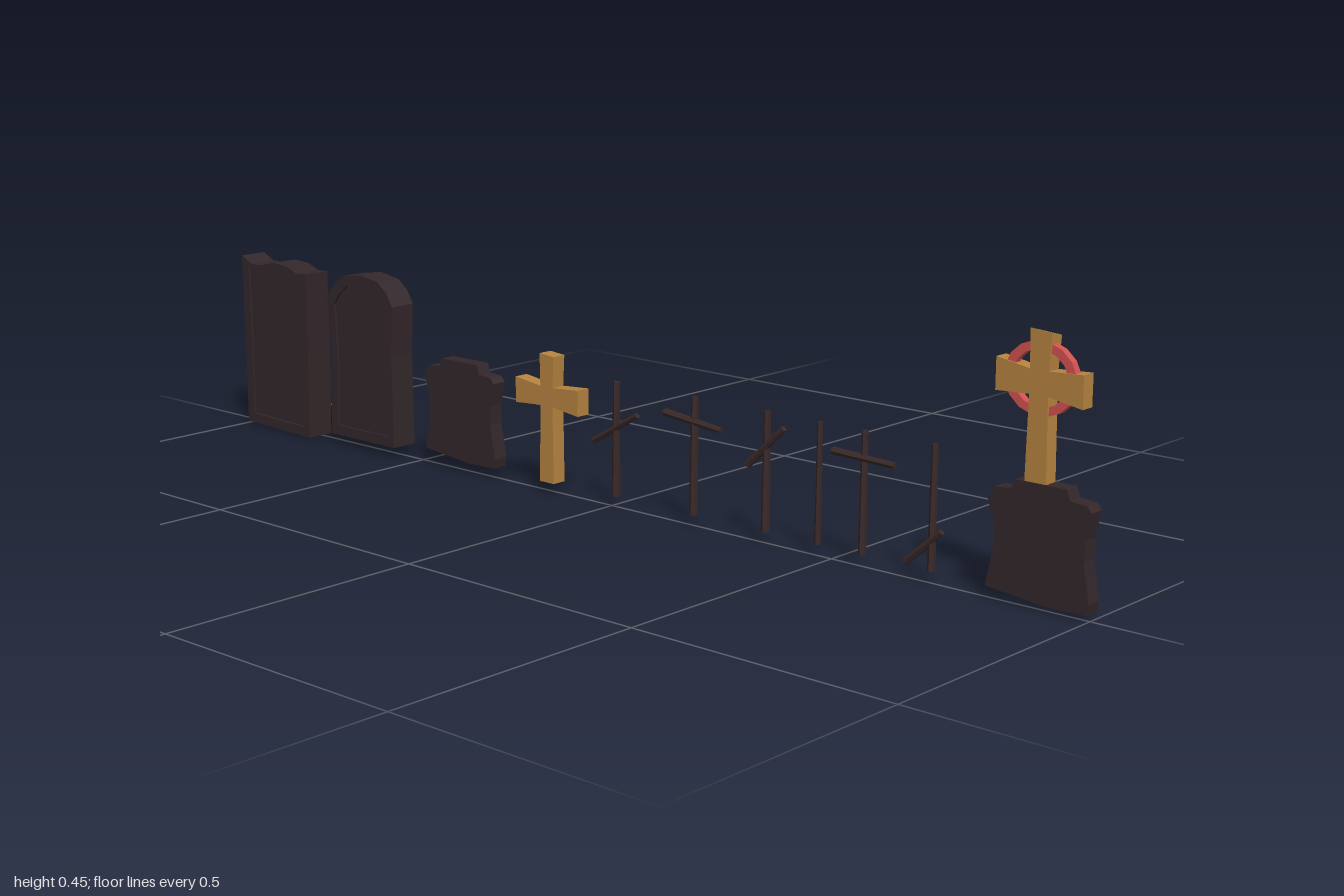
import * as THREE from 'three';

const mat = (color) => new THREE.MeshStandardMaterial({ color, flatShading: true });
const stone = mat(0x33272a), wood = mat(0xb5833f), red = mat(0xd2524f), stick = mat(0x3a2828);

function add(parent, name, geometry, material) {
  const mesh = new THREE.Mesh(geometry, material);
  mesh.name = name;
  parent.add(mesh);
  return mesh;
}

const toPath = (Type, pts) => new Type(pts.map(([x, y]) => new THREE.Vector2(x, y)));

// Flat slab between two z values, with an optional hole
function slab(pts, z0, z1, hole) {
  const shape = toPath(THREE.Shape, pts);
  if (hole) shape.holes.push(toPath(THREE.Path, hole));
  const g = new THREE.ExtrudeGeometry(shape, { depth: z1 - z0, bevelEnabled: false });
  return g.translate(0, 0, z0);
}

// Shrink an outline toward its own middle by a fixed border
function inset(pts, border) {
  const box = new THREE.Box2().setFromPoints(pts.map(([x, y]) => new THREE.Vector2(x, y)));
  const c = box.getCenter(new THREE.Vector2()), s = box.getSize(new THREE.Vector2());
  return pts.map(([x, y]) => [
    c.x + (x - c.x) * (1 - 2 * border / s.x),
    c.y + (y - c.y) * (1 - 2 * border / s.y),
  ]);
}

// Headstone: core slab, raised rims and a plaque on the back
function headstone(name, o) {
  const g = new THREE.Group();
  g.name = name;
  const rim = 0.005, front = o.frontRim ? rim : 0;
  add(g, 'stoneCore', slab(o.outline, o.z0 + rim, o.z1 - front), stone);
  const hole = inset(o.outline, o.border);
  add(g, 'backRim', slab(o.outline, o.z0, o.z0 + rim, hole), stone);
  if (front) add(g, 'frontRim', slab(o.outline, o.z1 - rim, o.z1, hole), stone);
  const [x0, x1, y0, y1, face] = o.plaque;
  const plate = [[x0, y0], [x1, y0 + 0.004], [x1 - 0.002, y1], [x0 + 0.002, y1 - 0.004]];
  add(g, 'plaqueBlock', slab(plate, face + 0.001, o.z0 + rim + 0.002), stone);
  add(g, 'plaqueFace', slab(plate, face, face + 0.001), red);
  return g;
}

// Low worn stone with bowed sides and a stepped top
const wornOutline = (cx, y0, h) => [
  [-0.095, 0.012], [0.02, 0], [0.092, 0.002], [0.095, 0.02], [0.083, 0.085], [0.084, 0.12],
  [0.093, 0.165], [0.085, 0.175], [0.054, 0.178], [0.048, 0.195], [-0.046, 0.195],
  [-0.052, 0.18], [-0.085, 0.176], [-0.095, 0.155], [-0.083, 0.12], [-0.081, 0.08],
].map(([x, y]) => [cx + x, y0 + y * h / 0.195]);

// Cross outline whose four ends flare slightly
function crossOutline(cx, y0, y1, armY, reach, w, armH, tilt) {
  const n = w * 0.95, e = armH * 1.35;
  return [
    [-w * 1.1, y0], [w * 1.1, y0], [n, armY - armH], [reach, armY - e - tilt], [reach, armY + e - tilt],
    [n, armY + armH], [w * 1.15, y1 - 0.003], [-w * 1.05, y1], [-n, armY + armH],
    [-reach, armY + e + tilt], [-reach, armY - e + tilt], [-n, armY - armH],
  ].map(([x, y]) => [cx + x, y]);
}

// Rough stick between two points
function rod(parent, name, a, b, r) {
  const p = new THREE.Vector3(...a), q = new THREE.Vector3(...b);
  const d = q.clone().sub(p);
  const m = add(parent, name, new THREE.CylinderGeometry(r * 0.8, r, d.length(), 6), stick);
  m.position.copy(p).add(q).multiplyScalar(0.5);
  m.quaternion.setFromUnitVectors(new THREE.Vector3(0, 1, 0), d.normalize());
}

export function createModel() {
  const model = new THREE.Group();
  model.name = 'graveMarkers';

  // Tall stone with a wavy top
  model.add(headstone('tallHeadstone', {
    outline: [[-0.995, 0.005], [-0.802, 0], [-0.8, 0.18], [-0.802, 0.335], [-0.83, 0.334], [-0.86, 0.345],
      [-0.9, 0.348], [-0.94, 0.338], [-0.97, 0.338], [-1, 0.352], [-0.996, 0.2]],
    z0: -0.025, z1: 0.033, border: 0.02, frontRim: true,
    plaque: [-0.96, -0.84, 0.18, 0.255, -0.024],
  }));

  // Stone with a chamfered, arched top
  model.add(headstone('archedHeadstone', {
    outline: [[-0.735, 0.02], [-0.552, 0.02], [-0.555, 0.2], [-0.55, 0.3], [-0.565, 0.325], [-0.59, 0.344],
      [-0.64, 0.352], [-0.69, 0.345], [-0.72, 0.325], [-0.74, 0.3], [-0.732, 0.2]],
    z0: -0.025, z1: 0.03, border: 0.02, frontRim: true,
    plaque: [-0.705, -0.587, 0.21, 0.275, -0.024],
  }));

  // Small worn stone
  model.add(headstone('smallHeadstone', {
    outline: wornOutline(-0.38, 0.02, 0.195), z0: -0.014, z1: 0.016, border: 0.018,
    plaque: [-0.427, -0.333, 0.08, 0.14, -0.022],
  }));

  // Plain wooden cross
  add(model, 'woodenCross',
    slab(crossOutline(-0.148, 0.02, 0.262, 0.183, 0.079, 0.016, 0.018, 0.002), -0.012, 0.017), wood);

  // Stick markers: post x, radius, then crossbar ends
  [
    [0.01, 0.008, -0.042, 0.115, 0.063, 0.178],
    [0.195, 0.008, 0.128, 0.195, 0.257, 0.182],
    [0.357, 0.008, 0.318, 0.132, 0.396, 0.208],
    [0.47, 0.006],
    [0.563, 0.007, 0.5, 0.188, 0.627, 0.183],
    [0.702, 0.007, 0.653, 0.027, 0.722, 0.09],
  ].forEach(([x, r, ax, ay, bx, by], i) => {
    const g = new THREE.Group();
    g.name = 'stickMarker' + (i + 1);
    rod(g, 'post', [x, 0.02, 0], [x + 0.001, 0.232, 0], r);
    if (ax !== undefined) rod(g, 'crossbar', [ax, ay, 0.002], [bx, by, 0.002], 0.007);
    model.add(g);
  });

  // Ringed cross standing on a worn stone
  const ringed = new THREE.Group();
  ringed.name = 'ringedCrossMarker';
  ringed.add(headstone('baseStone', {
    outline: wornOutline(0.905, 0.008, 0.195), z0: -0.024, z1: 0.006, border: 0.018,
    plaque: [0.86, 0.954, 0.075, 0.137, -0.032],
  }));
  const cross = slab(crossOutline(0.895, 0.2, 0.446, 0.362, 0.079, 0.018, 0.02, 0.004), -0.022, 0.005);
  const p = cross.attributes.position;
  for (let i = 0; i < p.count; i++) { // slanted top
    if (p.getY(i) > 0.43 && p.getZ(i) < -0.01) p.setY(i, p.getY(i) - 0.007);
  }
  add(ringed, 'cross', cross, wood);
  const circle = (r) => Array.from({ length: 16 }, (_, i) => {
    const a = (i + 0.5) * Math.PI / 8;
    return [0.895 + r * 1.1 * Math.cos(a), 0.368 + r * Math.sin(a)];
  });
  add(ringed, 'ring', slab(circle(0.06), -0.012, 0.002, circle(0.046)), red);
  model.add(ringed);

  return model;
}
